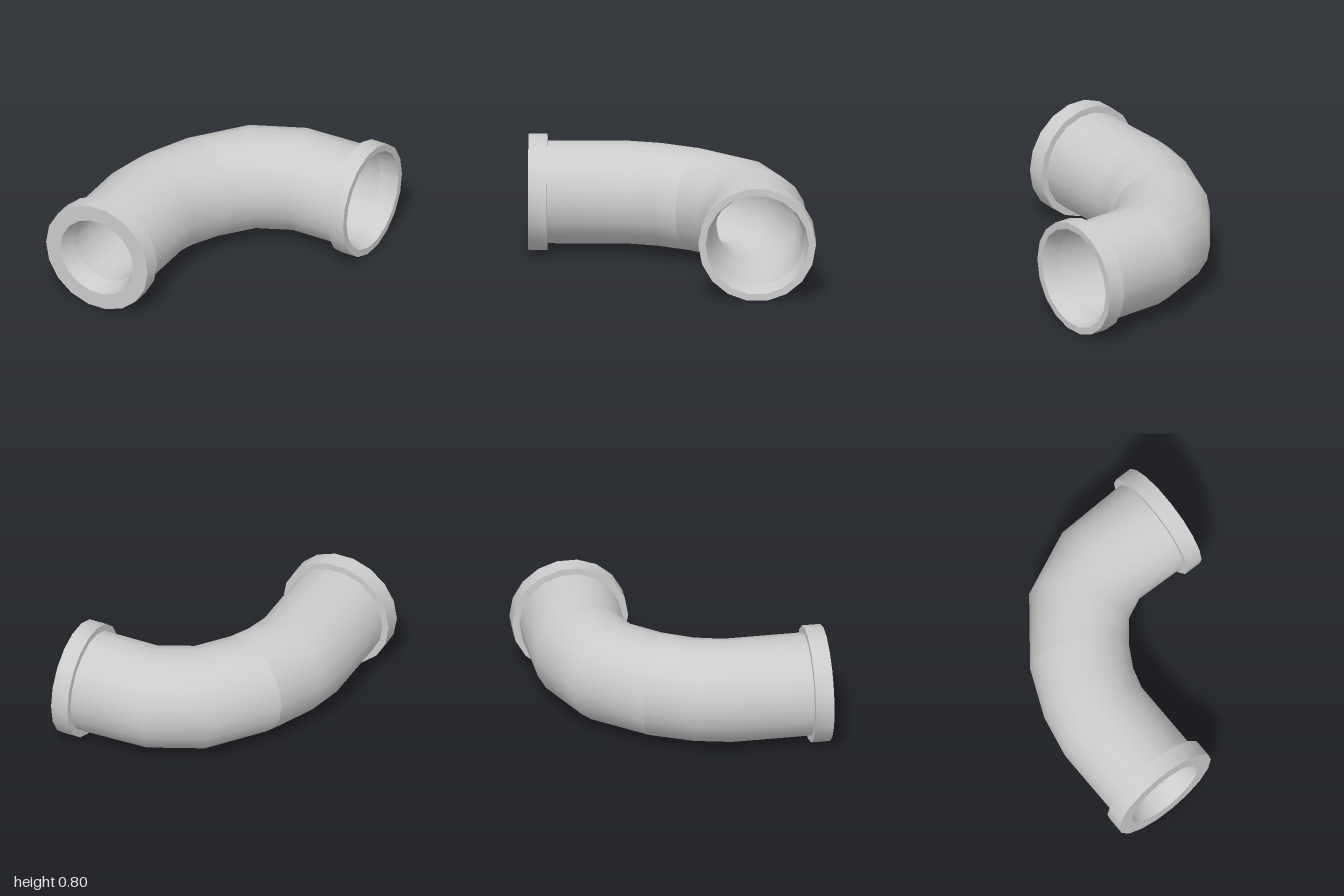
import * as THREE from 'three';

const SIDES = 18;
const AXIS_Y = 0.4;
const PIPE_R = 0.358;
const FLANGE_R = 0.406;

// A ring standing on the plan line from the outside of the bend to the inside
function section(x0, z0, x1, z1) {
  return {
    x: (x0 + x1) / 2, z: (z0 + z1) / 2,
    ux: (x1 - x0) / 2, uz: (z1 - z0) / 2, r: PIPE_R,
  };
}

// Same ring with another radius
function resize(s, radius) {
  const k = radius / Math.hypot(s.ux, s.uz);
  return { ...s, ux: s.ux * k, uz: s.uz * k, r: radius };
}

// Smooth skin through a run of rings
function skin(name, rings, material) {
  const pos = [], index = [];
  for (const s of rings) {
    for (let j = 0; j < SIDES; j++) {
      const a = (j / SIDES) * Math.PI * 2, c = Math.cos(a);
      pos.push(s.x + s.ux * c, AXIS_Y + s.r * Math.sin(a), s.z + s.uz * c);
    }
  }
  for (let i = 0; i < rings.length - 1; i++) {
    for (let j = 0; j < SIDES; j++) {
      const k = (j + 1) % SIDES;
      const a = i * SIDES + j, b = i * SIDES + k;
      index.push(a, a + SIDES, b, b, a + SIDES, b + SIDES);
    }
  }
  const geo = new THREE.BufferGeometry();
  geo.setAttribute('position', new THREE.Float32BufferAttribute(pos, 3));
  geo.setIndex(index);
  geo.computeVertexNormals();
  const mesh = new THREE.Mesh(geo, material);
  mesh.name = name;
  return mesh;
}

export function createModel() {
  const model = new THREE.Group();
  model.name = 'pipeElbow';
  const mat = new THREE.MeshStandardMaterial({ color: 0xcccccc });

  // Stations along the elbow, from the front mouth to the side mouth
  const frontEnd = section(-0.795, 1, -0.079, 1);
  const frontBack = section(-0.795, 0.87, -0.079, 0.87);
  const bend = [
    section(-0.795, 0.32, -0.079, 0.31),
    section(-0.737, 0.04, -0.03, 0.14),
    section(-0.59, -0.3, 0.06, -0.02),
    section(-0.25, -0.735, 0.18, -0.165),
    section(0.18, -0.93, 0.35, -0.245),
  ];
  const sideBack = section(0.715, -0.951, 0.715, -0.239);
  const sideEnd = section(0.84, -0.951, 0.84, -0.239);

  // Outer walls, meeting in a crease at the middle of the bend
  model.add(skin('frontPipe', [frontBack, ...bend.slice(0, 3)], mat));
  model.add(skin('sidePipe', [...bend.slice(2), sideBack], mat));

  // Collars: each pair of rings is one hard-edged band
  const collar = (name, rings) => {
    const group = new THREE.Group();
    group.name = name;
    for (let i = 0; i < rings.length - 1; i++) {
      group.add(skin(name + 'Band' + (i + 1), [rings[i], rings[i + 1]], mat));
    }
    model.add(group);
  };
  collar('frontCollar', [
    resize(frontEnd, 0.29), resize(frontEnd, FLANGE_R),
    resize(frontBack, FLANGE_R), frontBack,
  ]);
  collar('sideCollar', [
    sideBack, resize(sideBack, FLANGE_R),
    resize(sideEnd, FLANGE_R), resize(sideEnd, 0.357),
  ]);

  // Bore, run backwards so that it faces inwards
  model.add(skin('sideMouth', [resize(sideEnd, 0.357), resize(sideBack, 0.325)], mat));
  model.add(skin('bore', [
    resize(sideBack, 0.325),
    ...bend.map((s, i) => resize(s, i === 4 ? 0.29 : 0.25)).reverse(),
    resize(frontBack, 0.25),
  ], mat));
  model.add(skin('frontMouth', [resize(frontBack, 0.25), resize(frontEnd, 0.29)], mat));

  return model;
}
